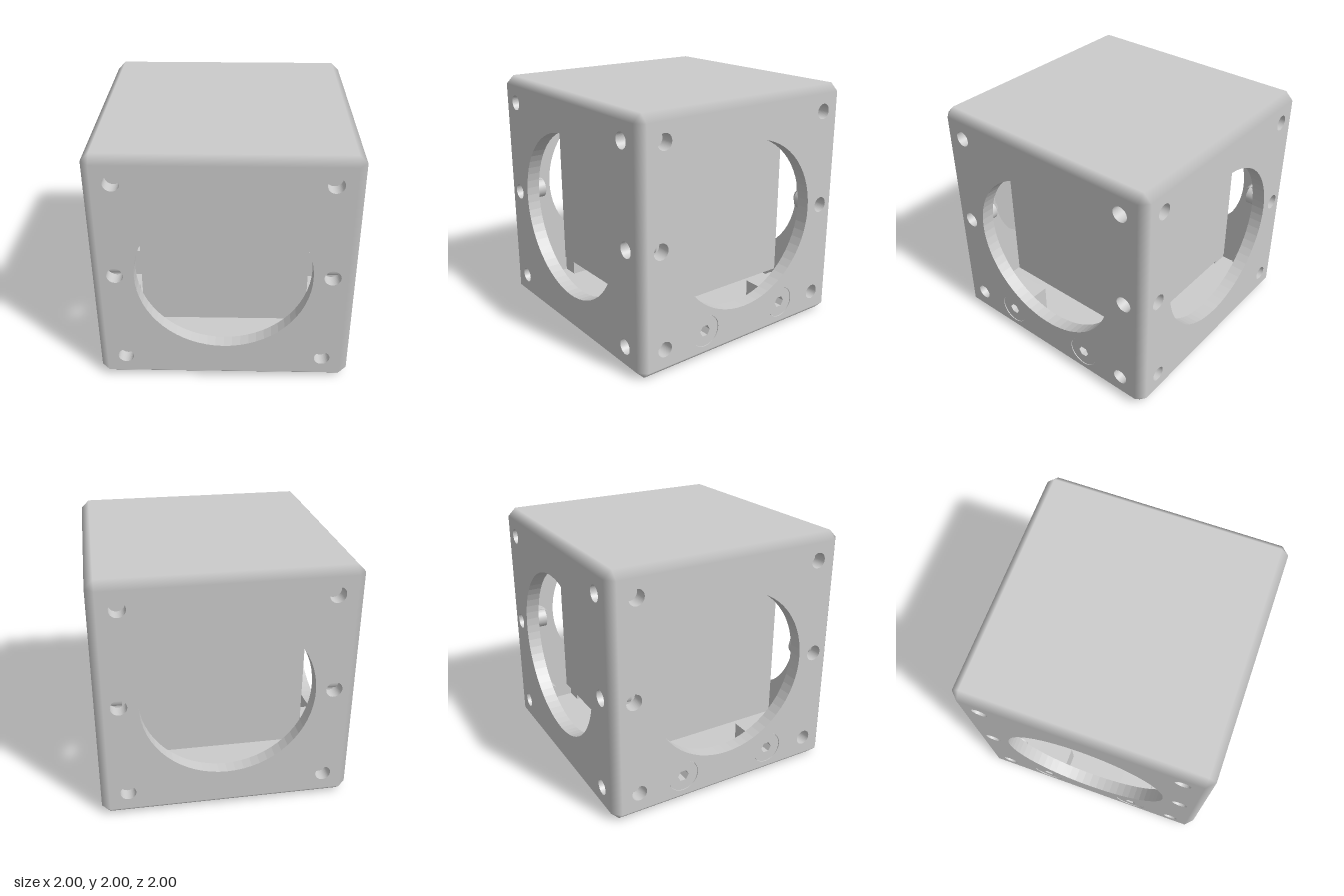
import * as THREE from 'three';

const B = 0.935;   // half-width of each flat face, inside the bevels
const WALL = 0.11; // shell thickness
const mat = new THREE.MeshStandardMaterial({ color: 0xcccccc });

function add(parent, name, geo, x = 0, y = 0, z = 0) {
  const m = new THREE.Mesh(geo, mat);
  m.name = name;
  m.position.set(x, y, z);
  parent.add(m);
  return m;
}

function circle(x, y, r) {
  return new THREE.Path().absarc(x, y, r, 0, Math.PI * 2, true);
}

// Flat square panel with round holes [x, y, r]; outer face at local z = 1
function panelGeometry(holes) {
  const s = new THREE.Shape([[-B, -B], [B, -B], [B, B], [-B, B]].map(p => new THREE.Vector2(...p)));
  holes.forEach(h => s.holes.push(circle(...h)));
  return new THREE.ExtrudeGeometry(s, { depth: WALL, bevelEnabled: false, curveSegments: 32 })
    .translate(0, 0, 1 - WALL);
}

// Bevels along all 12 edges and 8 corners, with normals blending between faces
function bevelGeometry() {
  const pos = [], nor = [];
  const vert = (signs, axis) => {
    const p = signs.map((s, i) => s * (i === axis ? 1 : B));
    const n = [0, 0, 0];
    n[axis] = signs[axis];
    return { p: new THREE.Vector3(...p), n };
  };
  const tri = (a, b, c) => {
    const n = b.p.clone().sub(a.p).cross(c.p.clone().sub(a.p));
    const order = n.dot(a.p) > 0 ? [a, b, c] : [a, c, b];
    order.forEach(v => { pos.push(...v.p.toArray()); nor.push(...v.n); });
  };
  for (const s of [-1, 1]) for (const t of [-1, 1]) {
    for (let k = 0; k < 3; k++) {
      const i = (k + 1) % 3, j = (k + 2) % 3;
      const lo = [0, 0, 0], hi = [0, 0, 0];
      lo[i] = hi[i] = s;
      lo[j] = hi[j] = t;
      lo[k] = -1;
      hi[k] = 1;
      tri(vert(lo, i), vert(hi, i), vert(hi, j));
      tri(vert(lo, i), vert(hi, j), vert(lo, j));
    }
    for (const u of [-1, 1]) tri(vert([s, t, u], 0), vert([s, t, u], 1), vert([s, t, u], 2));
  }
  const g = new THREE.BufferGeometry();
  g.setAttribute('position', new THREE.Float32BufferAttribute(pos, 3));
  g.setAttribute('normal', new THREE.Float32BufferAttribute(nor, 3));
  return g;
}

// Flush screw head with a hexagonal socket
function screwGeometry() {
  const s = new THREE.Shape().absarc(0, 0, 0.128, 0, Math.PI * 2, false);
  const hex = [];
  for (let i = 0; i < 6; i++) {
    hex.push(new THREE.Vector2(0.048 * Math.cos(i * Math.PI / 3), 0.048 * Math.sin(i * Math.PI / 3)));
  }
  s.holes.push(new THREE.Path(hex));
  return new THREE.ExtrudeGeometry(s, { depth: WALL - 0.005, bevelEnabled: false, curveSegments: 20 });
}

export function createModel() {
  const model = new THREE.Group();
  model.name = 'cubeHousing';

  // Small blind fastener holes around each window
  const pits = [];
  for (const s of [-1, 1]) pits.push([s * 0.787, 0.793, 0.062], [s * 0.82, 0.003, 0.064], [s * 0.787, -0.785, 0.062]);
  const screws = [[-0.4, -0.763, 0.13], [0.4, -0.763, 0.13]];
  const windowHole = [0, 0.003, 0.675];

  // Four side walls; the two x sides also carry screws
  ['frontWall', 'leftWall', 'backWall', 'rightWall'].forEach((name, i) => {
    const side = new THREE.Group();
    side.name = name;
    side.position.y = 1;
    side.rotation.y = i * Math.PI / 2;
    const screwed = i % 2 === 1;
    add(side, 'wallPanel', panelGeometry([windowHole, ...pits, ...(screwed ? screws : [])]));
    for (const [x, y] of pits) {
      const boss = new THREE.CylinderGeometry(0.085, 0.085, 0.1, 24).rotateX(Math.PI / 2);
      add(side, 'fastenerBoss', boss, x, y, 1 - WALL - 0.05);
    }
    if (screwed) for (const [x, y] of screws) {
      add(side, 'socketScrew', screwGeometry(), x, y, 1 - WALL);
      add(side, 'screwBlock', new THREE.BoxGeometry(0.28, 0.28, 0.14), x, y, 1 - WALL - 0.07);
    }
    model.add(side);
  });

  // Closed lid, and base with a central mounting hole
  add(model, 'lid', panelGeometry([]), 0, 1, 0).rotation.x = -Math.PI / 2;
  add(model, 'base', panelGeometry([[0, 0, 0.055]]), 0, 1, 0).rotation.x = Math.PI / 2;
  add(model, 'mountingBoss', new THREE.CylinderGeometry(0.12, 0.12, 0.08, 24), 0, WALL + 0.04, 0);
  add(model, 'bevelledEdges', bevelGeometry(), 0, 1, 0);

  // Solid block seen through the windows
  add(model, 'innerBlock', new THREE.BoxGeometry(1.336, 1.35, 1.336), 0, 1.02, 0);
  return model;
}
